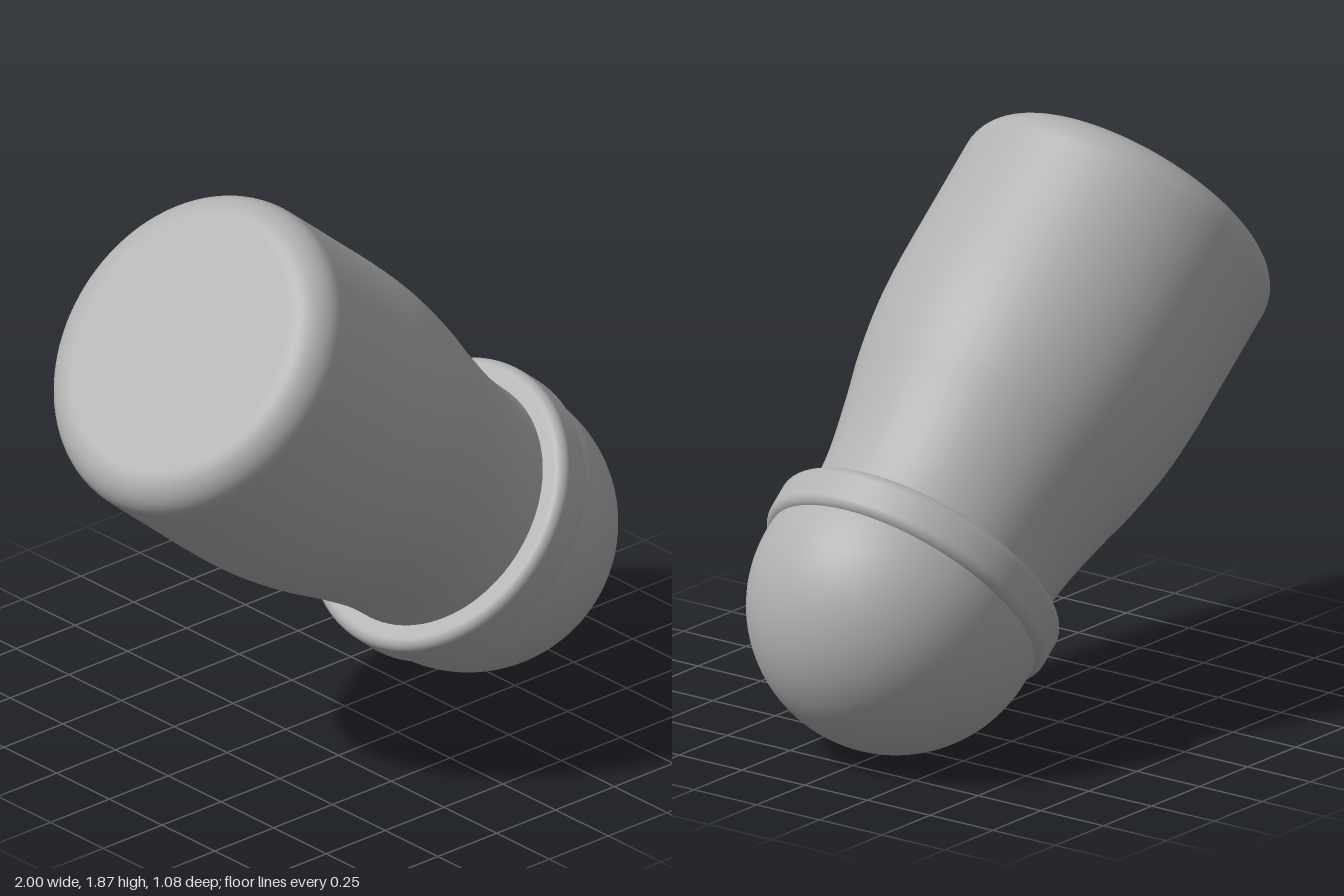
import * as THREE from 'three';

// Quarter-round fillet points on a profile, from angle a0 to a1 (degrees)
function arc(cx, cy, r, a0, a1, steps) {
  const pts = [];
  for (let i = 0; i <= steps; i++) {
    const a = THREE.MathUtils.degToRad(a0 + ((a1 - a0) * i) / steps);
    pts.push(new THREE.Vector2(Math.max(0, cx + r * Math.cos(a)), cy + r * Math.sin(a)));
  }
  return pts;
}

export function createModel() {
  const grey = new THREE.MeshStandardMaterial({ color: 0xb0b0b0 });
  grey.name = 'grey';
  const V = (x, y) => new THREE.Vector2(x, y);

  // The whole limb leans along one axis; local origin is the ball centre
  const model = new THREE.Group();
  model.name = 'limb';
  const limb = new THREE.Group();
  limb.name = 'tiltedLimb';
  limb.position.set(0.525, 0.475, 0);
  limb.rotation.z = THREE.MathUtils.degToRad(50);
  model.add(limb);

  const addLathe = (name, points) => {
    const mesh = new THREE.Mesh(new THREE.LatheGeometry(points, 96), grey);
    mesh.name = name;
    limb.add(mesh);
  };

  // Sleeve: narrow neck swelling to a straight barrel with a rounded flat end
  const swell = new THREE.SplineCurve([
    V(0.42, 0.1), V(0.42, 0.22), V(0.432, 0.36), V(0.47, 0.55),
    V(0.503, 0.69), V(0.53, 0.86), V(0.54, 1.02), V(0.541, 1.2),
  ]).getPoints(48);
  addLathe('sleeve', [
    ...swell,
    V(0.541, 1.47),
    ...arc(0.426, 1.485, 0.115, 0, 90, 14),
    V(0.42, 1.6),
    V(0, 1.6),
  ]);

  // Cuff: band with rounded edges around the neck
  const r = 0.035;
  addLathe('cuff', [
    V(0.4, 0.042),
    V(0.455, 0.042),
    ...arc(0.463, 0.042 + r, r, -90, 0, 8),
    ...arc(0.463, 0.19 - r, r, 0, 90, 8),
    V(0.455, 0.19),
    V(0.4, 0.19),
  ]);

  // Ball end, closed off inside the cuff
  addLathe('ball', arc(0, 0, 0.475, -90, 15, 48));

  return model;
}
